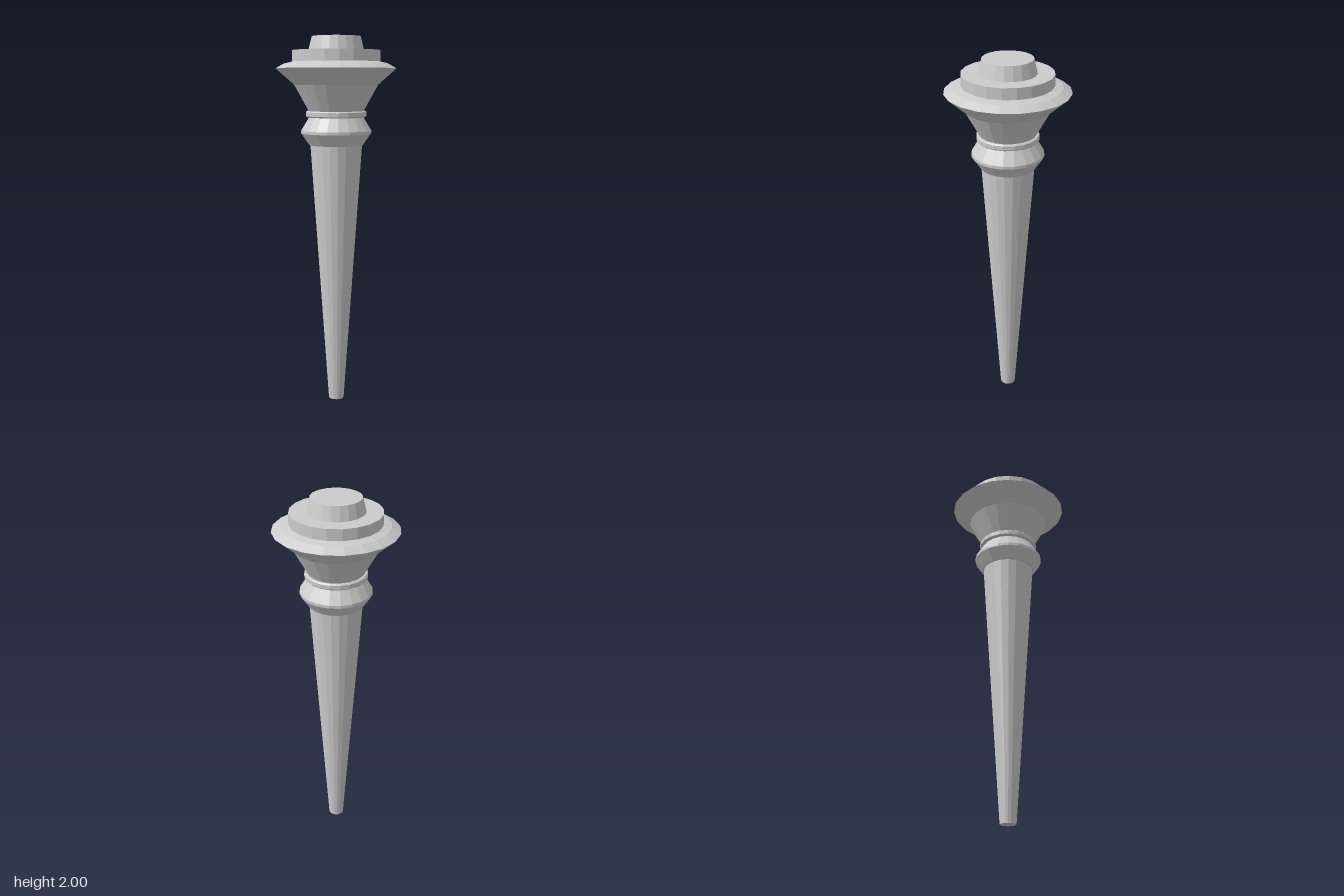
import * as THREE from 'three';

const SIDES = 20;

export function createModel() {
  const group = new THREE.Group();
  group.name = 'torch';
  const material = new THREE.MeshStandardMaterial({ color: 0xcccccc, flatShading: true });

  // Closed turned part from [radius, height] pairs, listed bottom to top
  function turned(name, profile) {
    const points = [
      [0, profile[0][1]], ...profile, [0, profile[profile.length - 1][1]],
    ].map(([r, y]) => new THREE.Vector2(r, y));
    const mesh = new THREE.Mesh(new THREE.LatheGeometry(points, SIDES), material);
    mesh.name = name;
    group.add(mesh);
  }

  // Tapered handle
  turned('shaft', [[0.042, 0], [0.139, 1.433]]);

  // Bulging collar and thin ring above the handle
  turned('collar', [[0.145, 1.433], [0.188, 1.495], [0.188, 1.51], [0.145, 1.58]]);
  turned('neckRing', [[0.156, 1.58], [0.162, 1.586], [0.162, 1.607], [0.156, 1.613]]);

  // Flared cup with a sharp, sloping rim
  turned('cup', [[0.147, 1.613], [0.223, 1.75], [0.32, 1.835], [0.275, 1.86], [0.232, 1.87]]);

  // Stepped top
  turned('topDisc', [[0.233, 1.87], [0.233, 1.928]]);
  turned('topPlug', [[0.147, 1.928], [0.129, 2]]);

  return group;
}
